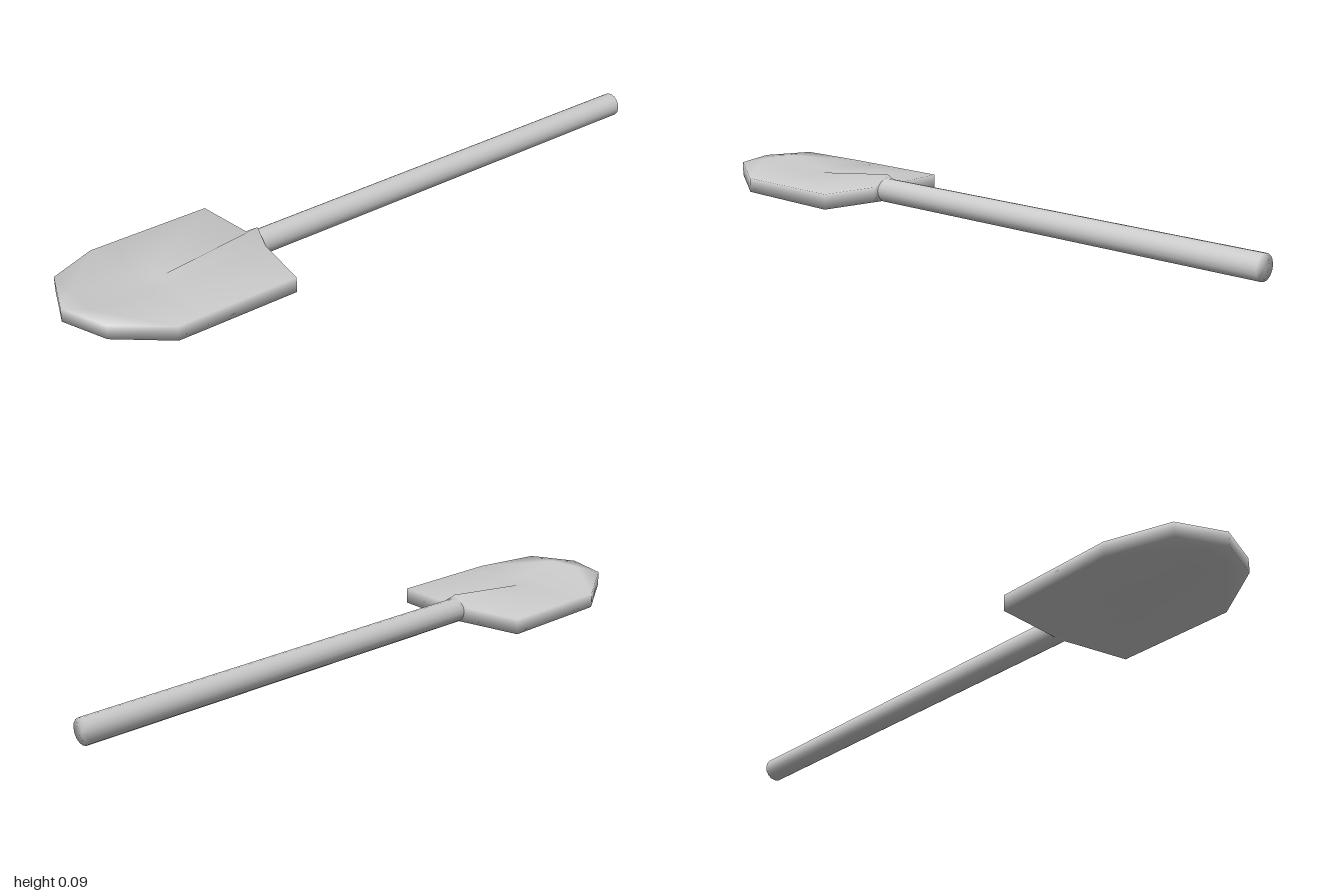
import * as THREE from 'three';
import { mergeVertices } from 'three/addons/utils/BufferGeometryUtils.js';

const material = new THREE.MeshStandardMaterial({ color: 0xcccccc });

// Weld all corners so that shading runs smoothly over every edge.
function smooth(geometry) {
  geometry.deleteAttribute('uv');
  geometry.deleteAttribute('normal');
  const welded = mergeVertices(geometry, 1e-5);
  welded.computeVertexNormals();
  return welded;
}

// Blade: cross-sections from the socket edge to the tip, each five points wide.
function bladeGeometry() {
  const ridge = 0.05;
  const rows = [
    { z: 0.42, w: 0.228, inner: ridge, top: 0.052, bottom: 0.005, peak: 0.087, bow: [0, -0.023, -0.03, -0.023, 0] },
    { z: 0.70, w: 0.228, inner: ridge, top: 0.052, bottom: 0.007 },
    { z: 0.79, w: 0.228, inner: ridge, top: 0.052, bottom: 0.008 },
    { z: 0.945, w: 0.14, inner: ridge, top: 0.073, bottom: 0.031 },
    { z: 1.0, w: 0, inner: 0, top: 0.073, bottom: 0.031 },
  ];
  const cols = 5, last = rows.length - 1, count = rows.length * cols;
  const upper = [], lower = [], index = [];
  for (const r of rows) {
    [-r.w, -r.inner, 0, r.inner, r.w].forEach((x, i) => {
      const z = r.z + (r.bow ? r.bow[i] : 0);
      upper.push(x, i === 2 && r.peak ? r.peak : r.top, z);
      lower.push(x, r.bottom, z);
    });
  }
  // Upper and lower skins
  for (let j = 0; j < last; j++) {
    for (let i = 0; i < cols - 1; i++) {
      const a = j * cols + i, b = a + cols, c = a + 1, d = b + 1;
      // Mirror the diagonals about the centre line
      const tris = i < 2 ? [a, b, d, a, d, c] : [a, b, c, b, d, c];
      // The front corners collapse into one tip point
      for (let k = 0; k < 6; k += 3) {
        const [p, q, r] = tris.slice(k, k + 3);
        if ([p, q, r].filter((v) => v >= last * cols).length > 1) continue;
        index.push(p, q, r, p + count, r + count, q + count);
      }
    }
  }
  // Rim wall round the outline
  const loop = [];
  for (let j = 0; j <= last; j++) loop.push(j * cols);
  for (let j = last - 1; j >= 0; j--) loop.push(j * cols + cols - 1);
  for (let i = cols - 2; i > 0; i--) loop.push(i);
  loop.forEach((p, k) => {
    const q = loop[(k + 1) % loop.length];
    index.push(p, p + count, q, q, p + count, q + count);
  });
  const g = new THREE.BufferGeometry();
  g.setAttribute('position', new THREE.Float32BufferAttribute([...upper, ...lower], 3));
  g.setIndex(index);
  return smooth(g);
}

export function createModel() {
  const shovel = new THREE.Group();
  shovel.name = 'shovel';

  const blade = new THREE.Mesh(bladeGeometry(), material);
  blade.name = 'blade';

  // Round handle lying along z
  const radius = 0.037, back = -1, front = 0.395;
  const rod = new THREE.CylinderGeometry(radius, radius, front - back, 16).rotateX(Math.PI / 2);
  const handle = new THREE.Mesh(smooth(rod), material);
  handle.name = 'handle';
  handle.position.set(0, radius, (front + back) / 2);

  shovel.add(blade, handle);
  return shovel;
}
